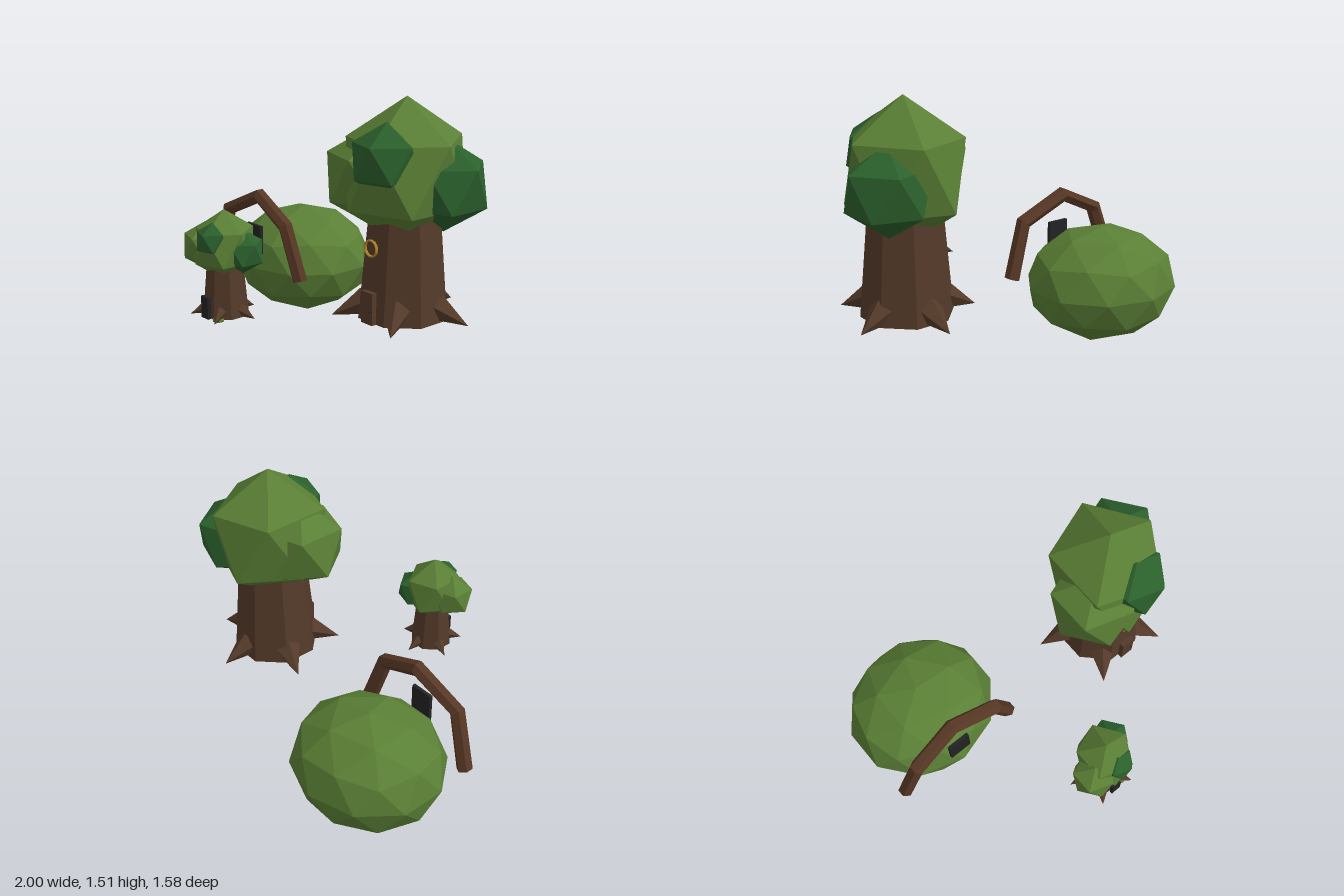
import * as THREE from 'three';

const mat = (name, color) => {
  const m = new THREE.MeshStandardMaterial({ color });
  m.name = name;
  return m;
};

export function createModel() {
  const leaf = mat('leaf green', 0x5a7f35);
  const darkLeaf = mat('dark leaf green', 0x2b602c);
  const bark = mat('bark brown', 0x543a29);
  const wood = mat('arch wood', 0x573725);
  const gold = mat('gold', 0xb5862a);
  const black = mat('black', 0x232323);

  // Faceted mesh with one normal per face
  const add = (parent, name, geo, material, pos = [0, 0, 0]) => {
    const flat = geo.index ? geo.toNonIndexed() : geo;
    flat.computeVertexNormals();
    const mesh = new THREE.Mesh(flat, material);
    mesh.name = name;
    mesh.position.set(...pos);
    parent.add(mesh);
    return mesh;
  };

  // Icosphere with a vertex at its top
  const blob = (rx, ry, rz, detail = 0) =>
    new THREE.IcosahedronGeometry(1, detail).rotateZ(-0.5536).scale(rx, ry, rz);

  // Tree standing on its own origin
  const makeTree = (name, sideX) => {
    const tree = new THREE.Group();
    tree.name = name;
    add(tree, 'trunk', new THREE.CylinderGeometry(0.195, 0.255, 0.66, 8).rotateY(Math.PI / 8), bark, [0, 0.33, 0]);

    // Five pointed roots, one straight back
    for (let i = 0; i < 5; i++) {
      const a = -Math.PI / 2 + (i * Math.PI * 2) / 5;
      const at = (r, y) => new THREE.Vector3(r * Math.cos(a), y, r * Math.sin(a));
      const base = at(0.2, 0.075), tip = at(0.385, 0);
      const dir = tip.clone().sub(base);
      const length = dir.length();
      const root = add(tree, 'root', new THREE.ConeGeometry(0.08, length, 5), bark,
        base.clone().add(tip).multiplyScalar(0.5).toArray());
      root.quaternion.setFromUnitVectors(new THREE.Vector3(0, 1, 0), dir.normalize());
    }

    add(tree, 'mainFoliage', blob(0.345, 0.4, 0.376), leaf, [0, 0.78, 0]);
    add(tree, 'sideFoliage', blob(0.27, 0.27, 0.27), leaf, [sideX, 0.745, 0.09]);
    add(tree, 'frontDarkFoliage', blob(0.2, 0.2, 0.2), darkLeaf, [0.035, 0.87, 0.175]);
    add(tree, 'rearDarkFoliage', blob(0.25, 0.25, 0.25), darkLeaf, [0.176, 0.725, -0.11]);
    return tree;
  };

  const model = new THREE.Group();
  model.name = 'treeVillage';

  // Large tree with door and hanging wreath
  const bigTree = makeTree('largeTree', -0.163);
  bigTree.position.set(0.6, 0.335, -0.11);
  model.add(bigTree);
  add(bigTree, 'door', new THREE.BoxGeometry(0.085, 0.175, 0.03), bark, [-0.002, 0.0875, 0.25]);
  add(bigTree, 'doorKnob', new THREE.IcosahedronGeometry(0.006), black, [0.025, 0.075, 0.268]);
  [-0.004, 0.004].forEach((z, i) => {
    const ring = add(bigTree, 'wreathRing', new THREE.TorusGeometry(0.044, 0.005, 5, 12), gold, [-0.005, 0.408, 0.236 + z]);
    ring.rotation.z = i * 0.26;
  });

  // Small tree with dark door and a grass tuft
  const smallTree = makeTree('smallTree', -0.228);
  smallTree.scale.setScalar(0.49);
  smallTree.position.set(-0.02, 0.335, 0.615);
  model.add(smallTree);
  add(model, 'smallDoor', new THREE.BoxGeometry(0.06, 0.12, 0.02), black, [-0.02, 0.395, 0.744]);
  add(model, 'grassTuft', blob(0.035, 0.014, 0.035), leaf, [0.05, 0.336, 0.715]);

  // Round mound with a dark window plate
  add(model, 'mound', blob(0.452, 0.33, 0.415, 1), leaf, [-0.57, 0.33, -0.385]);
  add(model, 'moundWindow', new THREE.BoxGeometry(0.137, 0.175, 0.02), black, [-0.57, 0.515, 0]);

  // Wooden arch: a six-sided beam bent along five points
  const path = [
    [-0.955, 0.325, -0.04], [-0.85, 0.645, -0.015], [-0.57, 0.775, -0.04],
    [-0.29, 0.645, -0.015], [-0.185, 0.325, -0.04],
  ].map((p) => new THREE.Vector3(...p));
  const beam = new THREE.CylinderGeometry(0.045, 0.045, 1, 6, 4);
  const pos = beam.attributes.position;
  for (let i = 0; i < pos.count; i++) {
    const k = Math.round((pos.getY(i) + 0.5) * 4);
    const before = path[Math.max(k - 1, 0)], after = path[Math.min(k + 1, 4)];
    const t = after.clone().sub(before).setZ(0).normalize();
    const x = pos.getX(i);
    pos.setXYZ(i, path[k].x + t.y * x, path[k].y - t.x * x, path[k].z + pos.getZ(i));
  }
  // Window stands clear of the mound's face
  model.getObjectByName('moundWindow').position.x = -0.572;
  add(model, 'arch', beam, wood);

  return model;
}
